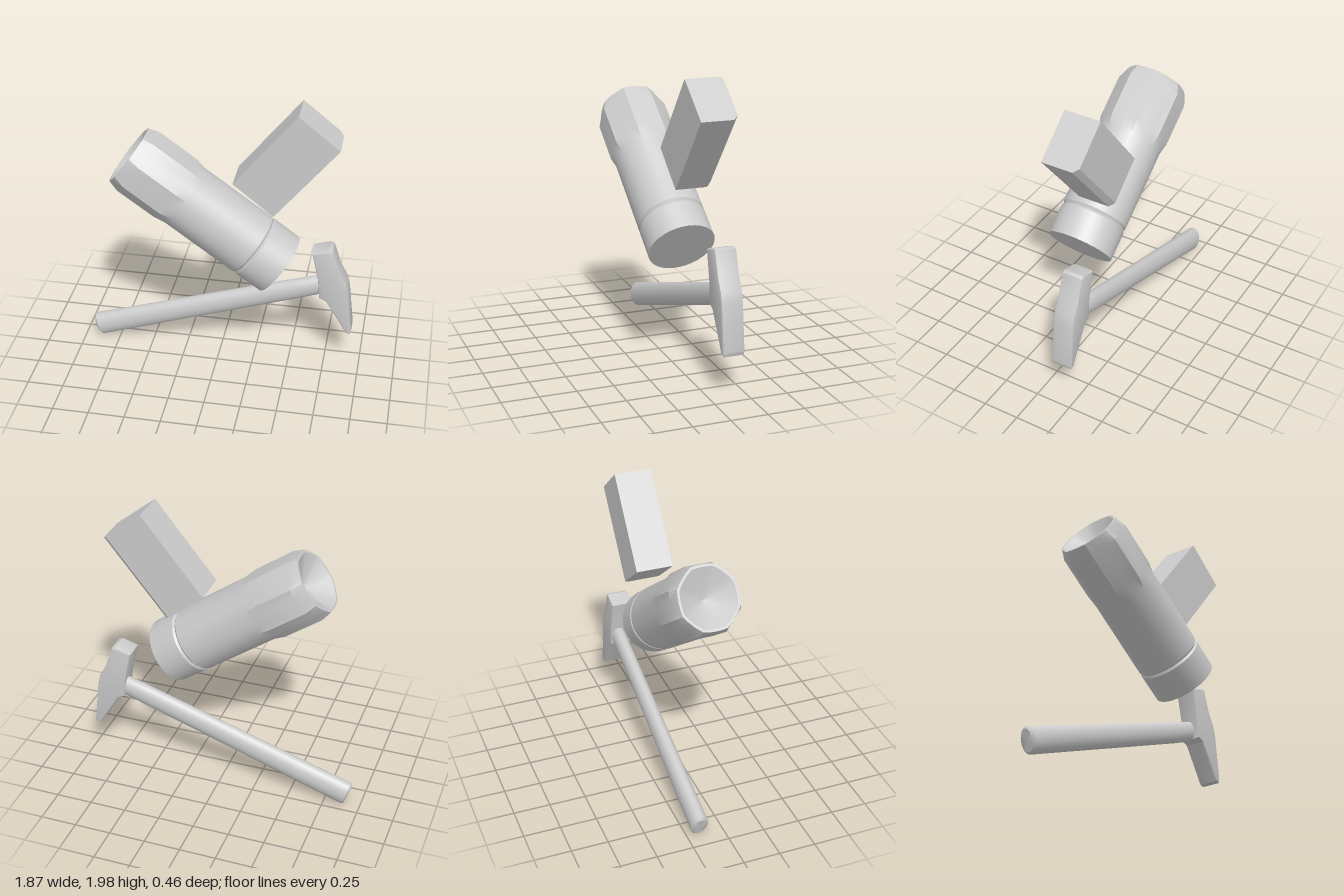
import * as THREE from 'three';
import { toCreasedNormals } from 'three/addons/utils/BufferGeometryUtils.js';

const material = new THREE.MeshStandardMaterial({ color: 0xcccccc, side: THREE.DoubleSide });

function add(group, name, geometry, crease, x = 0, y = 0, z = 0, angle = 0) {
  const mesh = new THREE.Mesh(toCreasedNormals(geometry, crease), material);
  mesh.name = name;
  mesh.position.set(x, y, z);
  mesh.rotation.z = angle;
  group.add(mesh);
  return mesh;
}

// Skin of rings along local x. Each section: [x, halfHeight, halfDepth, octagon share 0..1]
function loft(sections, segments = 32) {
  const rings = sections.map(([x, ry, rz, oct = 0]) =>
    Array.from({ length: segments }, (_, i) => {
      const a = (i / segments) * Math.PI * 2;
      const step = Math.PI / 4;
      const off = a - Math.round(a / step) * step;
      const k = 1 + oct * (1 / Math.cos(off) - 1);
      return [x, ry * k * Math.cos(a), rz * k * Math.sin(a)];
    }));
  const pos = [];
  for (let s = 0; s < rings.length - 1; s++) {
    for (let i = 0; i < segments; i++) {
      const j = (i + 1) % segments;
      const [a, b, c, d] = [rings[s][i], rings[s][j], rings[s + 1][j], rings[s + 1][i]];
      if (sections[s][1] > 0) pos.push(...a, ...b, ...d);
      if (sections[s + 1][1] > 0) pos.push(...b, ...c, ...d);
    }
  }
  const g = new THREE.BufferGeometry();
  g.setAttribute('position', new THREE.Float32BufferAttribute(pos, 3));
  return g;
}

const shapeOf = (points) => new THREE.Shape(points.map(([x, y]) => new THREE.Vector2(x, y)));

export function createModel() {
  const model = new THREE.Group();
  model.name = 'toolSet';

  // Thick socket: octagonal grip with hollow end, round shank, grooved collar
  add(model, 'socket', loft([
    [0.13, 0, 0],
    [0.07, 0.1, 0.1, 0.5],
    [0.0, 0.195, 0.185, 0.5],
    [0.0, 0.212, 0.2, 0.5],
    [0.08, 0.223, 0.224, 1],
    [0.38, 0.223, 0.224, 1],
    [0.46, 0.225, 0.225, 0],
    [1.02, 0.227, 0.225, 0],
    [1.035, 0.215, 0.213, 0],
    [1.05, 0.227, 0.225, 0],
    [1.254, 0.225, 0.225, 0],
    [1.254, 0, 0],
  ]), 0.35, -0.59, 1.61, 0.002, -0.624);

  // Rectangular block, one rear long edge bevelled
  const block = new THREE.ExtrudeGeometry(shapeOf([
    [-0.127, -0.176], [0.092, -0.176], [0.127, -0.14], [0.127, 0.176], [-0.127, 0.176],
  ]), { depth: 0.672, bevelEnabled: false });
  block.translate(0, 0, -0.336).rotateY(Math.PI / 2);
  add(model, 'block', block, 0.3, 0.455, 1.624, -0.098, 0.896);

  // Hammer
  const hammer = new THREE.Group();
  hammer.name = 'hammer';
  model.add(hammer);

  // Oval wooden handle, slimmer towards the head
  add(hammer, 'handle', loft([
    [0, 0, 0],
    [0, 0.075, 0.045],
    [0.012, 0.088, 0.06],
    [0.35, 0.085, 0.058],
    [0.9, 0.081, 0.053],
    [1.5, 0.076, 0.05],
    [1.73, 0.07, 0.05],
    [1.8, 0.05, 0.045],
    [1.8, 0, 0],
  ], 24), 0.7, -0.912, 0.091, -0.17, 0.322);

  // Head: square face on top, wedge-shaped peen below
  const bevel = 0.012;
  const head = new THREE.ExtrudeGeometry(shapeOf([
    [0.655, 0.913], [0.70, 0.71], [0.712, 0.575], [0.755, 0.555], [0.905, 0.307],
    [0.92, 0.302], [0.924, 0.315], [0.888, 0.62], [0.87, 0.695], [0.82, 0.785],
    [0.769, 0.938], [0.755, 0.943],
  ]), {
    depth: 0.15 - 2 * bevel, bevelThickness: bevel, bevelSize: bevel, bevelSegments: 2,
  });
  add(hammer, 'hammerHead', head, 0.5, 0, 0, -0.23 + bevel);

  return model;
}
